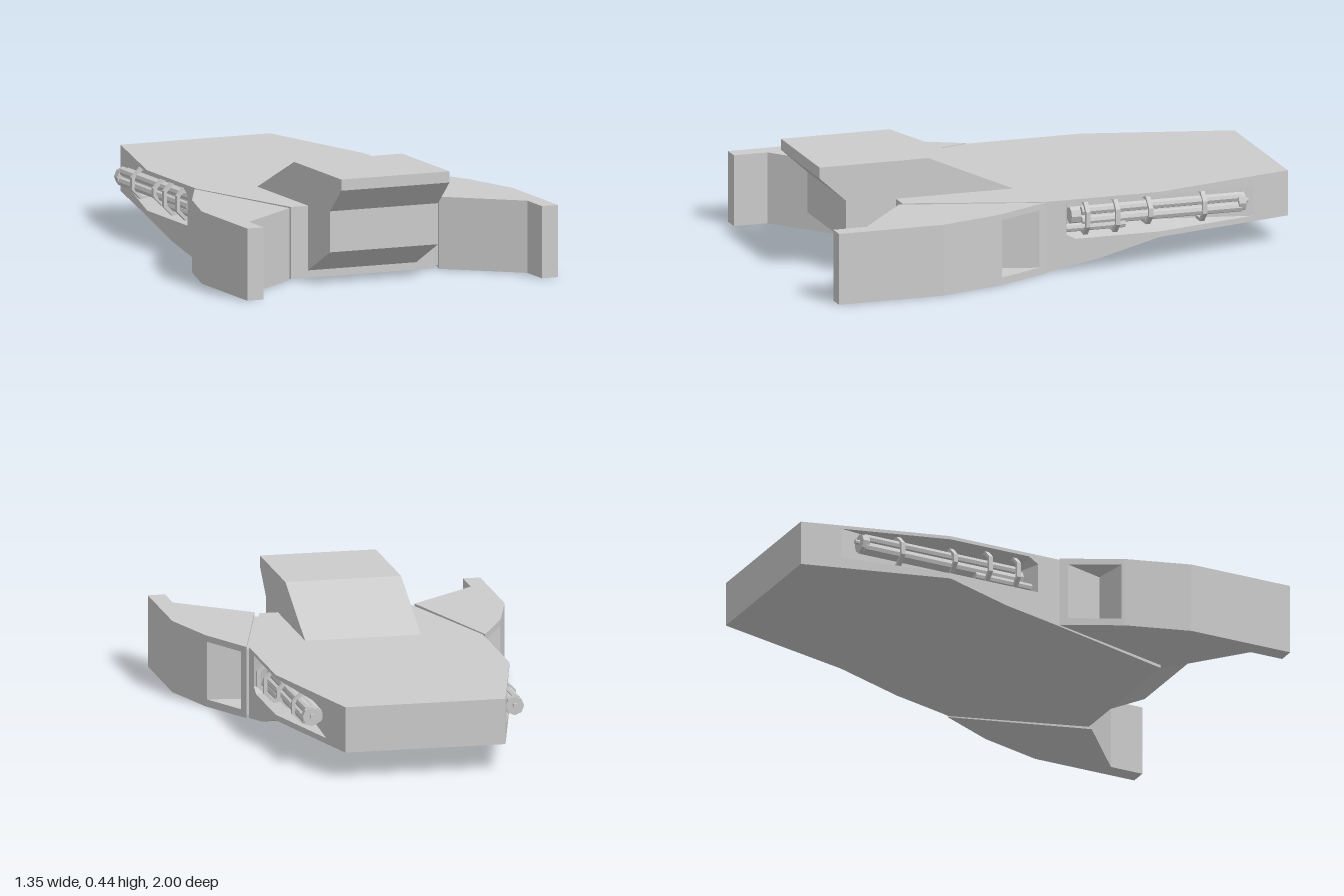
import * as THREE from 'three';

const material = new THREE.MeshStandardMaterial({ color: 0xcccccc, flatShading: true, side: THREE.DoubleSide });

// Flat plan outline [x, z] raised from y0 to y1
function slab(points, y0, y1) {
  const shape = new THREE.Shape(points.map(([x, z]) => new THREE.Vector2(x, -z)));
  return new THREE.ExtrudeGeometry(shape, { depth: y1 - y0, bevelEnabled: false })
    .rotateX(-Math.PI / 2).translate(0, y0, 0);
}

// Joins equal-length closed loops (counter-clockwise seen from +z), with caps
function loft(loops) {
  const pos = [];
  const tri = (a, b, c) => pos.push(...a, ...b, ...c);
  const n = loops[0].length;
  for (let i = 0; i < loops.length - 1; i++) {
    for (let j = 0; j < n; j++) {
      const k = (j + 1) % n;
      const [a, b, c, d] = [loops[i][j], loops[i][k], loops[i + 1][k], loops[i + 1][j]];
      tri(a, b, c);
      tri(a, c, d);
    }
  }
  const first = loops[0], last = loops[loops.length - 1];
  for (let j = 1; j < n - 1; j++) {
    tri(last[0], last[j], last[j + 1]);
    tri(first[0], first[j + 1], first[j]);
  }
  const geo = new THREE.BufferGeometry();
  geo.setAttribute('position', new THREE.Float32BufferAttribute(pos, 3));
  geo.computeVertexNormals();
  return geo;
}

// Reflects a geometry in x and restores its winding
function mirrored(source) {
  const geo = source.index ? source.toNonIndexed() : source.clone();
  geo.scale(-1, 1, 1);
  const p = geo.attributes.position;
  for (let i = 0; i < p.count; i += 3) {
    const b = [p.getX(i + 1), p.getY(i + 1), p.getZ(i + 1)];
    p.setXYZ(i + 1, p.getX(i + 2), p.getY(i + 2), p.getZ(i + 2));
    p.setXYZ(i + 2, ...b);
  }
  geo.computeVertexNormals();
  return geo;
}

// Round rod along z
function rod(x, y, z0, z1, r, sides = 8) {
  return new THREE.CylinderGeometry(r, r, Math.abs(z1 - z0), sides)
    .rotateX(Math.PI / 2).translate(x, y, (z0 + z1) / 2);
}

// Angular strap around the pipes: a thin bent band in the xy plane
function strap(z, out, y0, y1) {
  const t = 0.014, inX = 0.352;
  const shape = new THREE.Shape([
    [inX, y0], [out - 0.04, y0], [out, y0 + 0.04], [out, y1 - 0.04], [out - 0.04, y1], [inX, y1],
    [inX, y1 - t], [out - 0.045, y1 - t], [out - t, y1 - 0.045],
    [out - t, y0 + 0.045], [out - 0.045, y0 + t], [inX, y0 + t],
  ].map(([x, y]) => new THREE.Vector2(x, y)));
  return new THREE.ExtrudeGeometry(shape, { depth: 0.018, bevelEnabled: false }).translate(0, 0, z - 0.009);
}

export function createModel() {
  const model = new THREE.Group();
  model.name = 'spacecraft';
  const add = (name, geo) => {
    const mesh = new THREE.Mesh(geo, material);
    mesh.name = name;
    model.add(mesh);
  };
  const addPair = (name, geo) => {
    add(name + 'Left', geo);
    add(name + 'Right', mirrored(geo));
  };

  // Hull: [z, half width, recess floor x, belly y]; side recess sinks and rises along z
  const sections = [
    [-1, 0.325, 0.325, 0.105], [-0.84, 0.366, 0.366, 0.105], [-0.41, 0.475, 0.36, 0.105],
    [-0.16, 0.475, 0.36, 0.04], [-0.06, 0.475, 0.37, 0.023], [-0.02, 0.475, 0.475, 0.016],
    [0.07, 0.475, 0.475, 0], [0.61, 0.31, 0.31, 0],
  ];
  add('hull', loft(sections.map(([z, w, f, b]) => {
    const side = [[w, b], [w, 0.128], [f, 0.15], [f, 0.25], [w, 0.276], [w, 0.29]];
    const other = side.map(([x, y]) => [-x, y]).reverse();
    return [...side, ...other].map(([x, y]) => [x, y, z]);
  })));

  // Cockpit: side profile [z, y] extruded across x
  const profile = [
    [0.12, 0.29], [0.3, 0.1], [0.61, 0.03], [0.82, 0.135], [0.82, 0.3],
    [0.93, 0.4], [0.93, 0.445], [0.475, 0.445],
  ].map(([z, y]) => new THREE.Vector2(z, y));
  add('cockpit', new THREE.ExtrudeGeometry(new THREE.Shape(profile), { depth: 0.47, bevelEnabled: false })
    .rotateY(-Math.PI / 2).translate(0.235, 0, 0));

  // Forward wings: top and bottom plates around a core notched by the intake
  const inner = [[0.605, 1], [0.605, 0.86], [0.325, 0.63], [0.485, 0.07]];
  const outer = [[0.6, 0.3], [0.675, 0.56], [0.675, 1]];
  const intake = [[0.5, 0.1], [0.45, 0.265], [0.595, 0.29]];
  addPair('wingBottom', slab([...inner, ...outer], 0, 0.03));
  addPair('wingCore', slab([...inner, ...intake, ...outer], 0.03, 0.265));
  addPair('wingTop', slab([...inner, ...outer], 0.265, 0.29));
  // Sunken joint between wing and hull
  addPair('wingJoint', slab([[0.46, 0.085], [0.484, 0.085], [0.334, 0.605], [0.295, 0.6]], 0.012, 0.278));

  // Pipework in the side recesses
  addPair('mainPipe', rod(0.395, 0.205, -0.06, -0.77, 0.034));
  addPair('upperPipe', rod(0.422, 0.226, -0.1, -0.77, 0.018));
  addPair('lowerPipe', rod(0.425, 0.187, -0.1, -0.77, 0.02));
  addPair('shortPipe', rod(0.43, 0.163, -0.03, -0.28, 0.017));
  addPair('pipeCollar', rod(0.412, 0.205, -0.755, -0.785, 0.038));
  addPair('pipeNozzle', rod(0.412, 0.208, -0.78, -0.803, 0.01));
  [[-0.11, 0.485, 0.132, 0.275], [-0.235, 0.485, 0.132, 0.275],
    [-0.38, 0.465, 0.148, 0.262], [-0.61, 0.455, 0.138, 0.268]]
    .forEach((s, i) => addPair('pipeStrap' + (i + 1), strap(...s)));

  return model;
}
